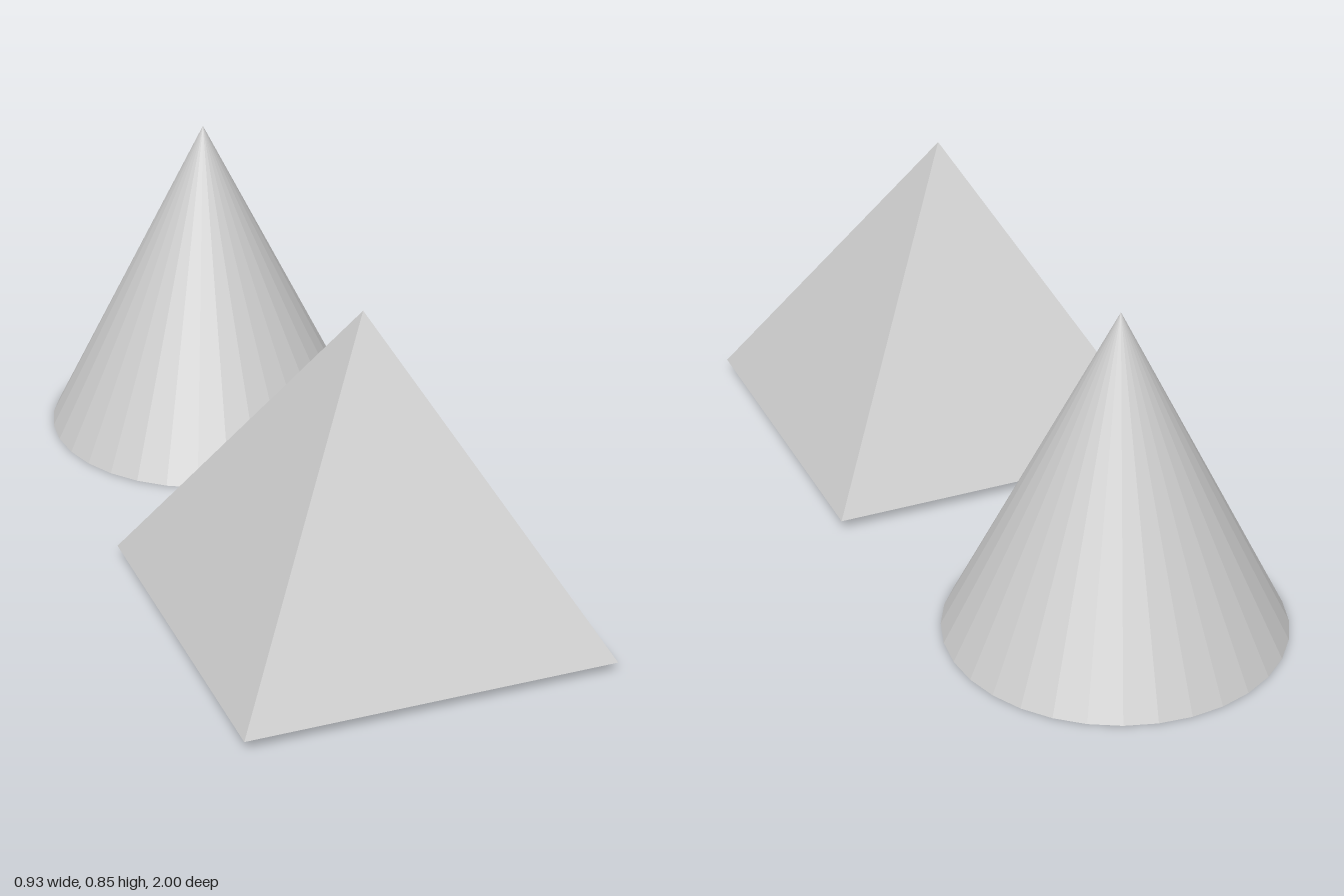
import * as THREE from 'three';

const material = new THREE.MeshStandardMaterial({ color: 0xcccccc, flatShading: true });

// A solid with a pointed top, its base resting at height y
function pointedSolid(name, radius, height, sides, y, z) {
  const geometry = new THREE.ConeGeometry(radius, height, sides);
  geometry.translate(0, height / 2, 0);
  const mesh = new THREE.Mesh(geometry, material);
  mesh.name = name;
  mesh.position.set(0, y, z);
  return mesh;
}

export function createModel() {
  const group = new THREE.Group();
  group.name = 'coneAndPyramid';

  // Round cone at the back
  const cone = pointedSolid('cone', 0.422, 0.849, 32, 0, -0.578);

  // Square pyramid at the front, slightly raised, sides along the axes
  const halfWidth = 0.464;
  const pyramid = pointedSolid('pyramid', halfWidth * Math.SQRT2, 0.78, 4, 0.028, 1 - halfWidth);
  pyramid.rotation.y = Math.PI / 4;

  group.add(cone, pyramid);
  return group;
}
